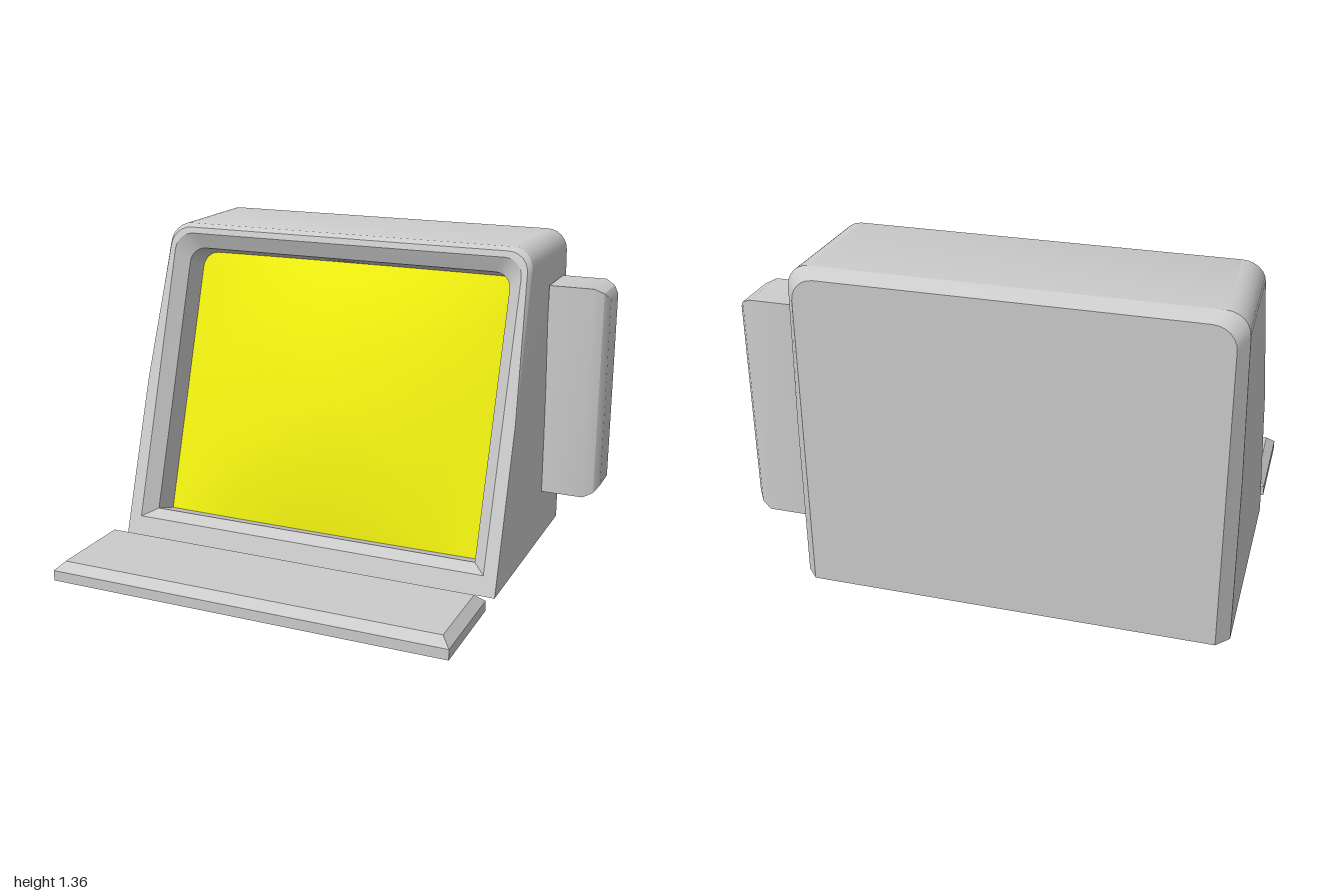
import * as THREE from 'three';
import { toCreasedNormals } from 'three/addons/utils/BufferGeometryUtils.js';

// Arch-shaped loop of [x, y]: up the -x side, over rounded top corners, down the +x side.
// The sides stay upright to mid height, then lean in by the taper.
function arch(hw, bottom, top, r = 0, taper = 0, seg = 6) {
  const h = hw - taper, mid = (bottom + top) / 2;
  const pts = [[-hw, bottom], [-hw + 0.15 * taper, mid]];
  for (const side of [-1, 1]) {
    if (r === 0) { pts.push([side * h, top]); continue; }
    for (let i = 0; i <= seg; i++) {
      const a = (side < 0 ? i : seg - i) / seg * Math.PI / 2;
      pts.push([side * (h - r + r * Math.cos(a)), top - r + r * Math.sin(a)]);
    }
  }
  pts.push([hw - 0.15 * taper, mid], [hw, bottom]);
  return pts;
}

const flat = (loop, z) => loop.map(([x, y]) => new THREE.Vector3(x, y, z));

// Point on the leaning front: x across, s up the slope, d outwards from it
const lean = (x, s, d) => new THREE.Vector3(x, 0.948 * s + 0.318 * d, 0.23 - 0.318 * s + 0.948 * d);

// Skin between successive loops
function loft(rings, closed, crease = 0.5) {
  const pos = [];
  const tri = (a, b, c) => {
    const area = b.clone().sub(a).cross(c.clone().sub(a)).length();
    if (area > 1e-8) for (const p of [a, b, c]) pos.push(p.x, p.y, p.z);
  };
  for (let k = 0; k + 1 < rings.length; k++) {
    const a = rings[k], b = rings[k + 1], n = a.length;
    for (let i = 0; i < (closed ? n : n - 1); i++) {
      const j = (i + 1) % n;
      tri(a[i], b[i], b[j]);
      tri(a[i], b[j], a[j]);
    }
  }
  const g = new THREE.BufferGeometry();
  g.setAttribute('position', new THREE.Float32BufferAttribute(pos, 3));
  return toCreasedNormals(g, crease);
}

export function createModel() {
  const grey = new THREE.MeshStandardMaterial({ color: 0xcccccc, side: THREE.DoubleSide });
  const yellow = new THREE.MeshStandardMaterial({ color: 0xf0f010, side: THREE.DoubleSide });
  const model = new THREE.Group();
  model.name = 'computerTerminal';
  const add = (name, geometry, material = grey) => {
    const mesh = new THREE.Mesh(geometry, material);
    mesh.name = name;
    mesh.position.x = -0.125;
    model.add(mesh);
    return mesh;
  };

  // Case: back panel, chamfer, sides and top, open underneath
  const backLoop = arch(0.825, 0, 1.325, 0.09);
  const rimOuter = arch(0.875, 0, 1.419, 0.09, 0.035).map(([x, s]) => lean(x, s, 0));
  add('case', loft([
    flat(backLoop.map(() => [0, 0]), -0.8),
    flat(backLoop, -0.8),
    flat(arch(0.875, 0, 1.36, 0.09, 0.012), -0.745),
    arch(0.875, 0, 1.36, 0.09, 0.022).map(([x, y]) => new THREE.Vector3(x, y, 0.23 - 0.352 * y)),
    rimOuter,
  ], false));

  // Front frame: flat rim, inward bevel, and recess walls
  const screenLoop = arch(0.759, 0.127, 1.335, 0.07);
  add('screenFrame', loft([
    rimOuter,
    arch(0.816, 0.084, 1.392, 0.08).map(([x, s]) => lean(x, s, 0)),
    screenLoop.map(([x, s]) => lean(x, s, -0.05)),
    screenLoop.map(([x, s]) => lean(x, s, -0.18)),
  ], true));

  // Domed screen: shrinking loops with extra points along the long edges,
  // its lower and upper edges bowed slightly forward
  const mid = 0.731, cols = 12;
  const outline = [];
  screenLoop.forEach(([x, s], i) => {
    const [nx, ns] = screenLoop[(i + 1) % screenLoop.length];
    const steps = Math.abs(nx - x) > 0.5 ? cols : 1;
    for (let j = 0; j < steps; j++) outline.push([x + (nx - x) * j / steps, s + (ns - s) * j / steps]);
  });
  const screenRings = [1, 0.9, 0.8, 0.65, 0.5, 0.35, 0.18, 0].map((k) => outline.map(([x, s]) => {
    const u = k * x / 0.759, v = k * (s - mid) / 0.604;
    const bulge = (1 - u * u) * (0.021 + 0.075 * (1 - v * v));
    return lean(k * x, mid + k * (s - mid), -0.18 + bulge);
  }));
  add('screen', loft(screenRings, true, 1), yellow);

  // Keyboard slab with chamfered top, open underneath
  const slab = (inset) => arch(0.875 - inset, -0.222 + inset, 0.222 - inset);
  const keyboard = add('keyboard', loft([
    flat(slab(0), 0), flat(slab(0), 0.045), flat(slab(0.037), 0.08),
    flat(slab(0).map(() => [0, 0]), 0.08),
  ], true));
  keyboard.rotation.x = -Math.PI / 2;
  keyboard.position.z = 0.575;

  // Box on the left side: bevelled body and a softly rounded end
  const box = (inset) => arch(0.118 - inset, -0.47 + inset, 0.47 - inset);
  const boxParts = {
    sideBox: loft([flat(box(0), 0.742), flat(box(0), 0.935), flat(box(0.02), 0.977)], true),
    sideBoxEnd: loft([flat(box(0.02), 0.977), flat(box(0.05), 1), flat(box(0).map(() => [0, 0]), 1)], true, 0.8),
  };
  for (const [name, geometry] of Object.entries(boxParts)) {
    const part = add(name, geometry);
    part.rotation.y = Math.PI / 2;
    part.position.set(0, 0.696, -0.57);
  }

  return model;
}
